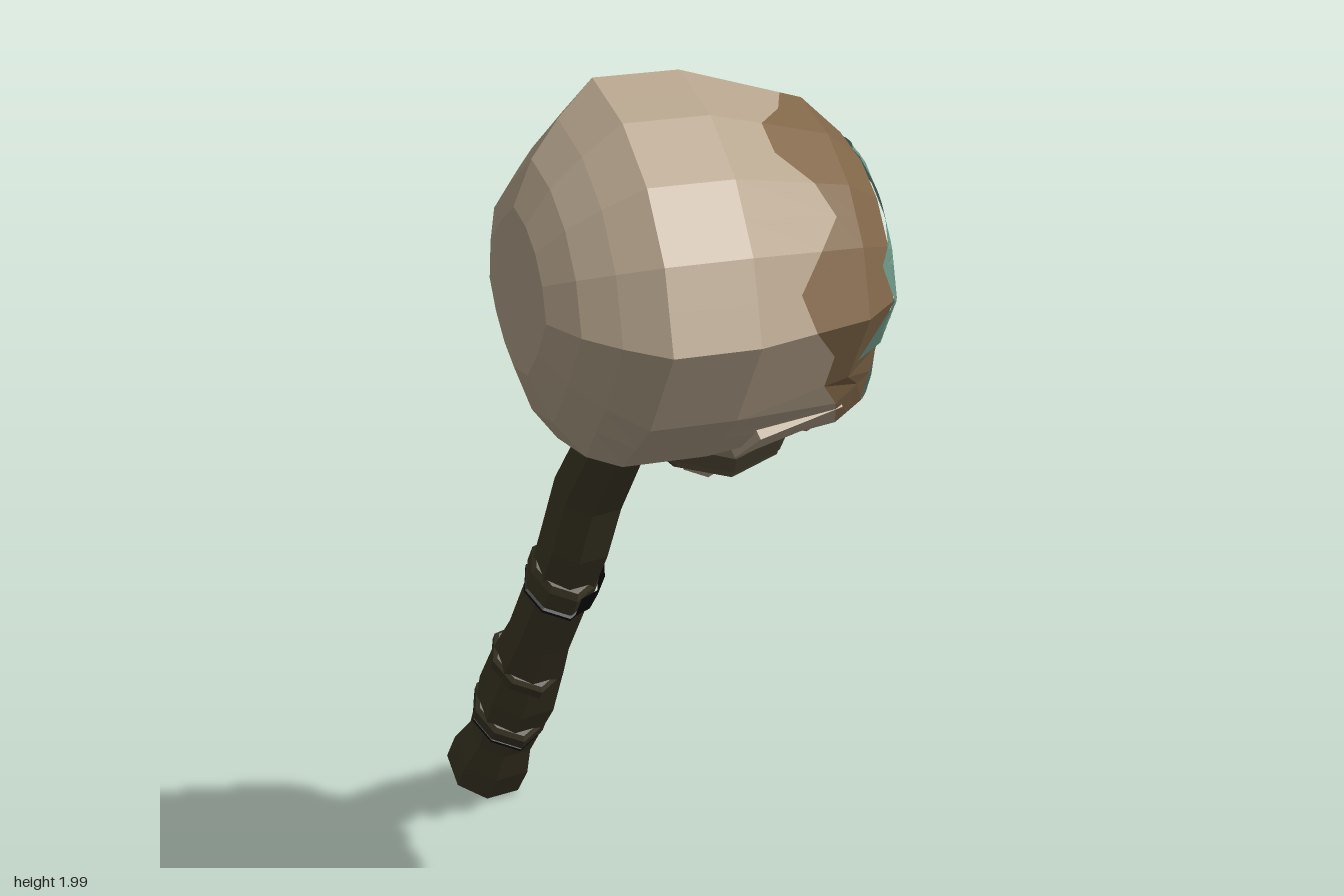
import * as THREE from 'three';

const mat = (name, color) => {
  const m = new THREE.MeshStandardMaterial({ color, flatShading: true });
  m.name = name;
  return m;
};
const V = (x, y, z) => new THREE.Vector3(x, y, z);

// Skins a list of rings (counter-clockwise about the direction of travel); bandMat picks a group per band.
function loft(rings, bandMat = () => 0) {
  const pos = [], geo = new THREE.BufferGeometry();
  const tri = (...p) => p.forEach(q => pos.push(q.x, q.y, q.z));
  const n = rings[0].length;
  const cap = (ring, flip, m) => {
    const start = pos.length / 3;
    const c = ring.reduce((s, p) => s.add(p), V(0, 0, 0)).divideScalar(n);
    for (let j = 0; j < n; j++) {
      const a = ring[j], b = ring[(j + 1) % n];
      flip ? tri(c, b, a) : tri(c, a, b);
    }
    geo.addGroup(start, pos.length / 3 - start, m);
  };
  cap(rings[0], true, bandMat(0));
  for (let i = 0; i < rings.length - 1; i++) {
    const start = pos.length / 3;
    for (let j = 0; j < n; j++) {
      const k = (j + 1) % n;
      const a = rings[i][j], b = rings[i][k], c = rings[i + 1][k], d = rings[i + 1][j];
      tri(a, b, c, a, c, d);
    }
    geo.addGroup(start, pos.length / 3 - start, bandMat(i));
  }
  cap(rings.at(-1), false, bandMat(rings.length - 2));
  geo.setAttribute('position', new THREE.Float32BufferAttribute(pos, 3));
  geo.computeVertexNormals();
  return geo;
}

export function createModel() {
  const bone = mat('bone', 0xb5a38c);
  const brown = mat('brown paint', 0x82684a);
  const teal = mat('teal paint', 0x6b9585);
  teal.side = THREE.DoubleSide;
  const black = mat('black', 0x0e0e0e);
  black.side = THREE.DoubleSide;
  const wood = mat('dark wood', 0x413b29);
  const strap = mat('leather strap', 0x3c3627);

  const root = new THREE.Group();
  root.name = 'skullClub';
  const add = (parent, name, geo, material) => {
    const m = new THREE.Mesh(geo, material);
    m.name = name;
    parent.add(m);
    return m;
  };

  // Handle: [x, y, z, radius] from butt to neck
  const path = [
    [.08, .034, -.882, .05], [.08, .058, -.862, .085], [.08, .13, -.80, .086], [.078, .20, -.735, .07],
    [.075, .28, -.668, .076], [.07, .36, -.60, .084], [.066, .455, -.525, .078], [.06, .56, -.43, .066],
    [.052, .74, -.276, .066], [.046, .86, -.18, .07], [.04, 1.0, -.085, .07], [.02, 1.25, .17, .062],
    [.005, 1.36, .27, .09], [0, 1.46, .36, .09]
  ];
  const ringAt = (c, dir, r, n = 7) => {
    const u = V(1, 0, 0).addScaledVector(dir, -dir.x).normalize();
    const v = dir.clone().cross(u);
    return Array.from({ length: n }, (_, j) => {
      const t = j / n * Math.PI * 2;
      const k = r * (1 + .07 * Math.sin(j * 2.4));
      return c.clone().addScaledVector(u, k * Math.cos(t)).addScaledVector(v, k * Math.sin(t));
    });
  };
  const centres = path.map(p => V(p[0], p[1], p[2]));
  const dirAt = i => centres[Math.min(i + 1, path.length - 1)].clone()
    .sub(centres[Math.max(i - 1, 0)]).normalize();
  add(root, 'handle', loft(path.map((p, i) => ringAt(centres[i], dirAt(i), p[3]))), wood);

  // Bands wrapped round the handle: [name, path index, offset along, radius, half length, material]
  [['gripCollar', 8, .005, .077, .046, wood], ['gripCord', 8, -.044, .077, .007, black],
    ['middleCollar', 6, 0, .085, .022, strap], ['lowerCollar', 4, 0, .087, .026, strap],
    ['lowerBlackCord', 4, -.028, .085, .007, black]
  ].forEach(([name, i, off, r, h, m]) => {
    const d = dirAt(i), c = centres[i].clone().addScaledVector(d, off);
    const rings = [[-h, .9], [-h * .6, 1], [h * .6, 1], [h, .9]]
      .map(([t, s]) => ringAt(c.clone().addScaledVector(d, t), d, r * s, 8));
    add(root, name, loft(rings), m);
  });
  // Black wrap: a thin shell round the left side of the grip
  const shell = new THREE.CylinderGeometry(.08, .08, .075, 6, 1, true, .1, Math.PI - .2);
  const patch = add(root, 'gripPatch', shell, black);
  patch.position.copy(centres[8]);
  patch.quaternion.setFromUnitVectors(V(0, 1, 0), dirAt(8));

  // Head: faces +x, leaned over so its crown points up and forward
  const head = new THREE.Group();
  head.name = 'head';

  // Half of the boxy cranium section as (z, y)
  const half = [[0, .335], [.14, .312], [.275, .24], [.315, .05], [.3, -.12], [.2, -.24], [.07, -.27], [0, -.27]];
  const corners = [...half, ...half.slice(1, -1).reverse().map(([z, y]) => [-z, y])];
  const section = corners.flatMap(([z, y], j) => {
    const [z2, y2] = corners[(j + 1) % corners.length];
    return [[z, y], [(z + z2) / 2, (y + y2) / 2]];
  });
  // Stations along x: [x, scale of the upper part, scale of the lower part]
  const stations = [[-.34, .42, .45], [-.305, .64, .72], [-.255, .82, .92], [-.19, 1, 1], [-.03, 1, 1],
    [.2, .81, .94], [.275, .62, .8], [.308, .4, .5], [.32, .04, .04]];
  const scaleAt = (x, y) => {
    let i = 0;
    while (i < stations.length - 2 && x > stations[i + 1][0]) i++;
    const [a, b] = [stations[i], stations[i + 1]];
    const [upper, lower] = [1, 2].map(k => a[k] + (b[k] - a[k]) * (x - a[0]) / (b[0] - a[0]));
    return lower + (upper - lower) * THREE.MathUtils.clamp((y + .12) / .17, 0, 1);
  };
  const skullRing = xOf => section.map(([z, y], j) => {
    const x = xOf(y, j), s = scaleAt(x, y);
    return V(x, y * s, z * s);
  });
  const rings = stations.map(([x]) => skullRing(y => x === .2 && y <= 0 ? .245 : x));
  // Wavy front edge of the paint
  rings.splice(5, 0, skullRing((y, j) => y > 0 ? .11 + .05 * Math.sin(j * 1.35 + .4) : .215 + .02 * Math.sin(j * 1.6)));
  const skull = add(head, 'cranium', loft(rings, i => i < 5 ? 0 : 1), [bone, brown]);

  // Paint: a band between two outlines of (z, y) points, cut fine so that it follows the face
  const ray = new THREE.Raycaster();
  const onFace = (z, y, lift) => {
    ray.set(V(2, y, z), V(-1, 0, 0));
    const hit = ray.intersectObject(skull)[0];
    return [(hit ? hit.point.x : .2) + lift, y, z];
  };
  const refine = (pts, n) => pts.flatMap(([z, y], i) => {
    const [z2, y2] = pts[(i + 1) % pts.length];
    return Array.from({ length: n }, (_, k) => [z + (z2 - z) * k / n, y + (y2 - y) * k / n]);
  });
  const paint = (name, inner, outer, lift, material, steps = 5) => {
    const a = refine(inner, 5), b = refine(outer, 5), n = a.length, pos = [], idx = [];
    for (let s = 0; s <= steps; s++) {
      for (let j = 0; j < n; j++) {
        const t = s / steps;
        pos.push(...onFace(a[j][0] + (b[j][0] - a[j][0]) * t, a[j][1] + (b[j][1] - a[j][1]) * t, lift));
        const p = s * n + j, q = s * n + (j + 1) % n;
        if (s < steps) idx.push(p, p + n, q, q, p + n, q + n);
      }
    }
    const geo = new THREE.BufferGeometry();
    geo.setAttribute('position', new THREE.Float32BufferAttribute(pos, 3));
    geo.setIndex(idx);
    geo.computeVertexNormals();
    add(head, name, geo, material);
  };

  // Forehead ring with a ragged edge
  const loop = (a, b, wobble) => Array.from({ length: 18 }, (_, i) => {
    const t = i / 18 * Math.PI * 2, k = 1 + wobble * (i % 3 ? -.5 : 1);
    return [.012 + a * k * Math.cos(t), .085 + b * k * Math.sin(t)];
  });
  paint('foreheadMark', loop(.145, .066, .06), loop(.213, .125, .1), .007, teal);

  // Eye sockets with painted rims, and paint running down to the nose
  const eye = [[-.066, -.005], [-.045, -.05], [.03, -.055], [.066, -.012], [.05, .042], [-.02, .055]];
  for (const side of [1, -1]) {
    const at = s => eye.map(([z, y]) => [side * (.147 + z * s), -.1 + y * s]);
    paint('eyeRim', at(.95), at(1.42), .006, teal);
    paint('eyeSocket', at(.02), at(1), .009, black);
    const nosePts = [[.012, -.07], [.02, -.14], [.03, -.2], [.085, -.19], [.09, -.15], [.05, -.1]];
    paint('nosePaint', nosePts.map(() => [side * .045, -.14]), nosePts.map(([z, y]) => [side * z, y]), .006, teal);
    const nostril = [[.014, -.155], [.014, -.195], [.05, -.2], [.042, -.168]];
    paint('nostril', nostril.map(() => [side * .03, -.18]), nostril.map(([z, y]) => [side * z, y]), .01, black);
    // Cheekbones: painted in front, bare along the side
    const cheek = add(head, 'cheekbone', new THREE.CylinderGeometry(.05, .035, .1, 6), brown);
    cheek.position.set(.215, -.2, side * .175);
    cheek.rotation.x = side * -.5;
    const arch = add(head, 'cheekArch', new THREE.BoxGeometry(.18, .11, .05), bone);
    arch.position.set(.12, -.1, side * .257);
    arch.rotation.set(side * .2, side * .25, -.1);
  }

  // Nose bridge: a slim wedge
  const bridge = add(head, 'noseBridge', new THREE.ConeGeometry(.035, .11, 4), brown);
  bridge.position.set(.302, -.12, 0);
  bridge.scale.z = .6;

  // Upper jaw, bare at the teeth and painted over the front
  add(head, 'upperJaw', new THREE.CylinderGeometry(.18, .15, .15, 10), bone).position.set(.09, -.265, 0);
  const muzzle = new THREE.CylinderGeometry(.19, .178, .075, 8, 1, false, .2, Math.PI - .4);
  add(head, 'paintedMuzzle', muzzle, brown).position.set(.09, -.24, 0);

  // Lower jaw: a horseshoe bar swept from one hinge to the other
  const side = [[.03, -.24, .19], [.05, -.35, .187], [.11, -.43, .165], [.19, -.46, .12], [.232, -.468, .06]];
  const jaw = [...side.map(([x, y, z]) => V(x, y, -z)), ...side.map(p => V(...p)).reverse()];
  const jawRings = jaw.map((p, i) => {
    const d = jaw[Math.min(i + 1, jaw.length - 1)].clone().sub(jaw[Math.max(i - 1, 0)]).normalize();
    const u = V(p.x - .02, 0, p.z).normalize();
    const v = d.clone().cross(u).normalize();
    return [[-1, -1], [1, -1], [1, 1], [-1, 1]]
      .map(([a, b]) => p.clone().addScaledVector(u, a * .022).addScaledVector(v, b * .037));
  });
  add(head, 'lowerJaw', loft(jawRings), bone);

  // Teeth along both jaws
  for (let i = -3; i <= 3; i++) {
    const t = i * .32;
    for (const [name, y, r] of [['upperTooth', -.35, .14], ['lowerTooth', -.41, .14]]) {
      const tooth = add(head, name, new THREE.BoxGeometry(.03, .045, .038), bone);
      tooth.position.set(.09 + r * Math.cos(t), y, r * Math.sin(t));
      tooth.rotation.y = -t;
    }
  }

  // Straps lashing the skull to the handle
  [[-.295, .05], [-.335, -.04]].forEach(([y, tilt]) => {
    const g = new THREE.TorusGeometry(1, .1, 5, 12).rotateX(Math.PI / 2).scale(.18, .27, .235);
    const s = add(head, 'strap', g, strap);
    s.position.set(.09, y, 0);
    s.rotation.x = tilt;
  });
  // Knot where the straps meet the handle
  const knot = add(head, 'strapKnot', new THREE.BoxGeometry(.09, .09, .17), strap);
  knot.position.set(-.04, -.32, 0);
  knot.rotation.z = .2;

  head.rotation.x = Math.PI / 4;
  head.position.set(0, 1.633, .559);
  root.add(head);
  return root;
}
